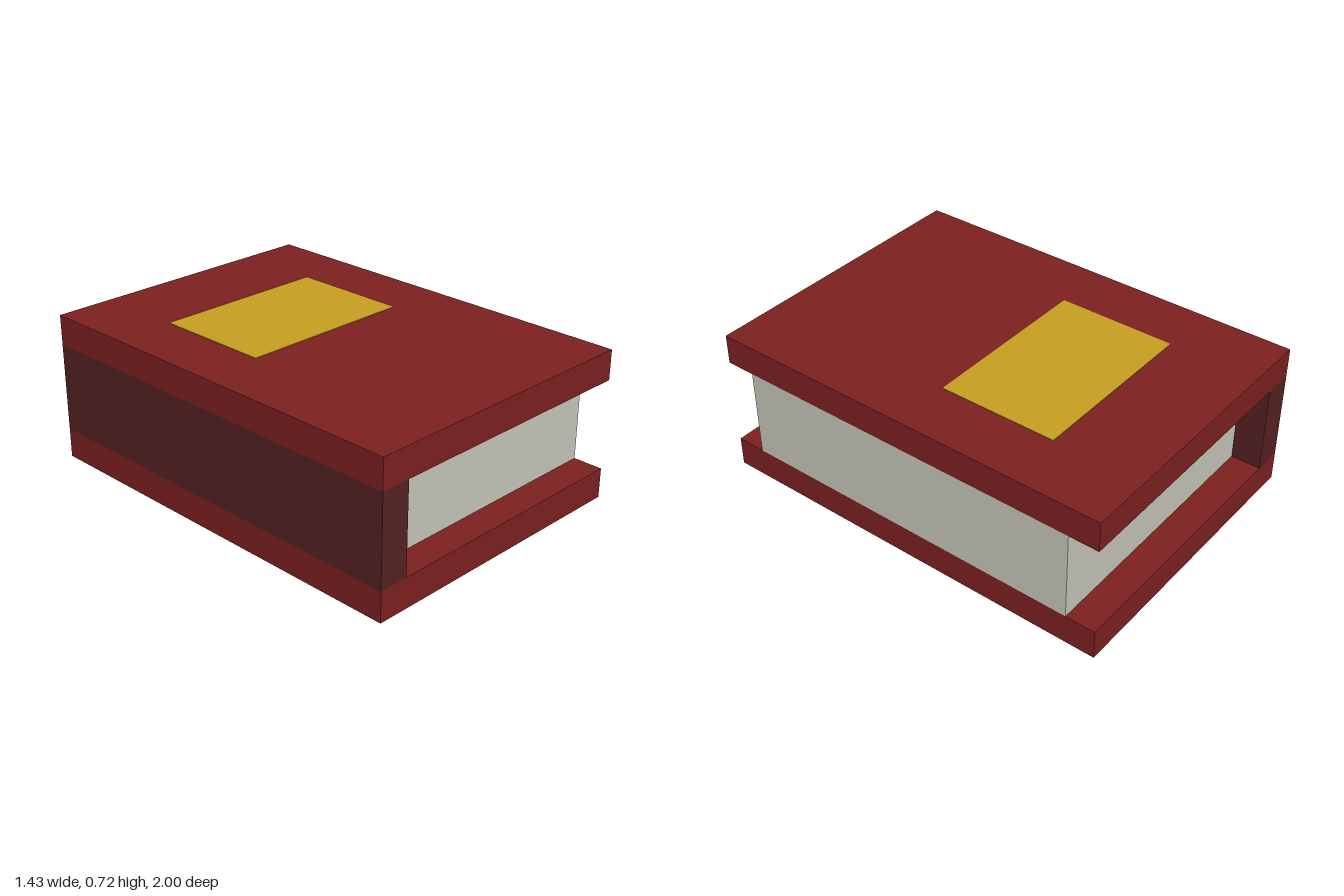
import * as THREE from 'three';

const material = (name, color) => {
  const m = new THREE.MeshStandardMaterial({ color });
  m.name = name;
  return m;
};

export function createModel() {
  const book = new THREE.Group();
  book.name = 'book';

  const coverRed = material('cover red', 0x7f2121);
  const spineRed = material('spine dark red', 0x562222);
  const paper = material('paper', 0xc9c8bc);
  const gold = material('gold', 0xc9a122);

  // Box given by its limits on each axis
  const addBox = (name, mat, [x0, x1], [y0, y1], [z0, z1]) => {
    const mesh = new THREE.Mesh(new THREE.BoxGeometry(x1 - x0, y1 - y0, z1 - z0), mat);
    mesh.position.set((x0 + x1) / 2, (y0 + y1) / 2, (z0 + z1) / 2);
    mesh.name = name;
    book.add(mesh);
  };

  const u = 1 / 7; // board thickness
  const width = [-5 * u, 5 * u];

  // Two cover boards
  addBox('bottomCover', coverRed, width, [0, u], [-1, 1]);
  addBox('topCover', coverRed, width, [4 * u, 5 * u], [-1, 1]);

  // Spine between the boards
  addBox('spine', spineRed, [-5 * u, -4 * u], [u, 4 * u], [-1, 1]);

  // Page block, flush with the opening edge and inset at both ends
  addBox('pages', paper, [-4 * u, 5 * u], [u, 4 * u], [-6 * u, 6 * u]);

  // Thin title plate on the top cover
  addBox('titlePlate', gold, [-3 * u, 3 * u], [5 * u, 5 * u + 0.003], [-4 * u, 0]);

  return book;
}
